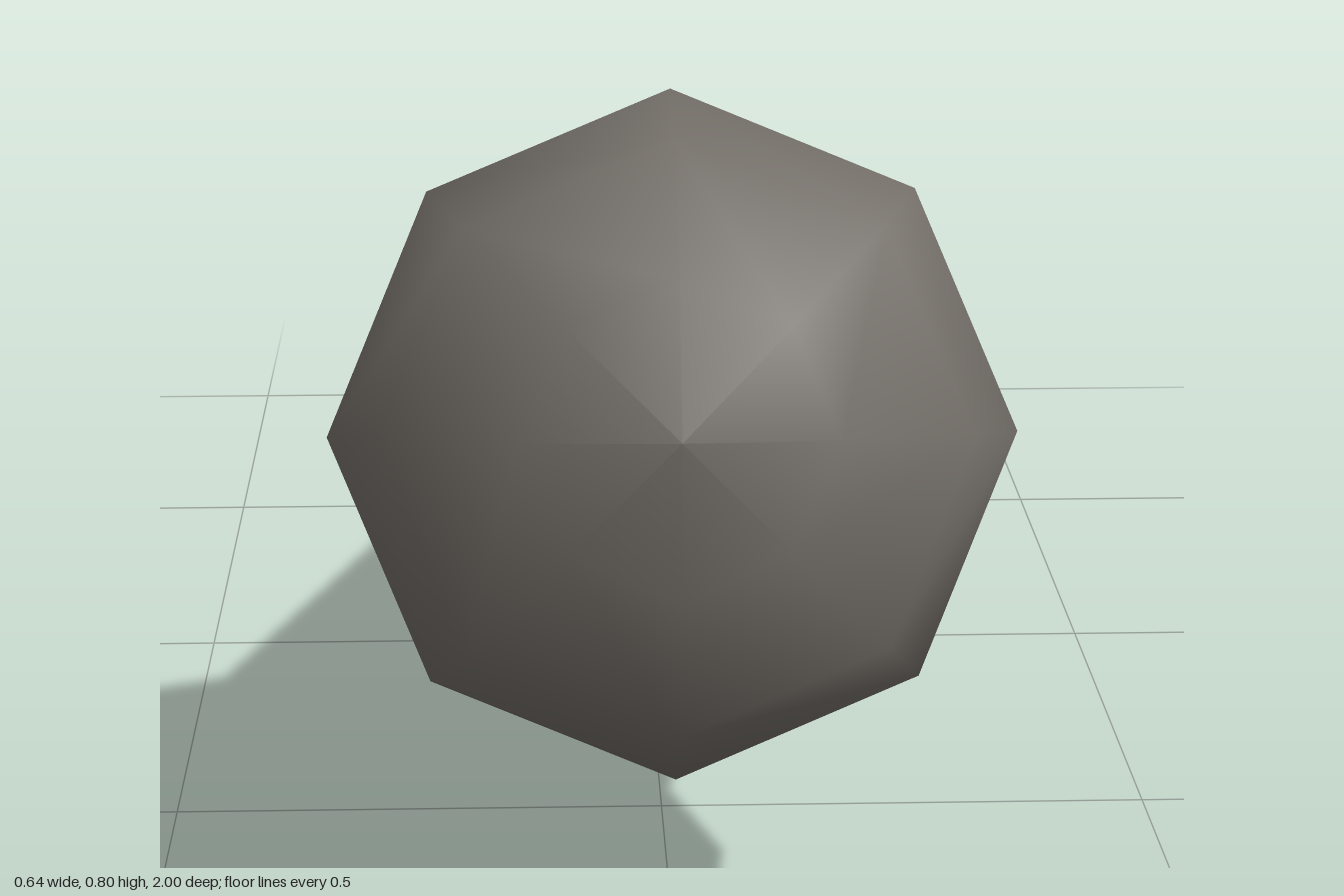
import * as THREE from 'three';

const SIDES = 8;

function material(name, color) {
  const m = new THREE.MeshStandardMaterial({ color });
  m.name = name;
  return m;
}

export function createModel() {
  const group = new THREE.Group();
  group.name = 'microphone';
  const grille = material('warm grey grille', 0x736e68);
  const metal = material('grey metal', 0x6c6a67);
  const black = material('black', 0x262626);

  // All parts share one axis (local y), later tilted towards the front.
  const add = (name, geometry, mat, y = 0) => {
    const mesh = new THREE.Mesh(geometry, mat);
    mesh.name = name;
    mesh.position.y = y;
    group.add(mesh);
  };

  // Tapered eight-sided section from y0 (radius r0) to y1 (radius r1)
  const section = (name, y0, r0, y1, r1, mat) =>
    add(name, new THREE.CylinderGeometry(r1, r0, y1 - y0, SIDES), mat, (y0 + y1) / 2);

  section('handle', -1.18, 0.107, 0, 0.196, black);
  section('cablePlug', -1.237, 0.087, -1.17, 0.087, black);
  section('cable', -1.547, 0.014, -1.23, 0.027, black);
  section('collar', -0.003, 0.25, 0.045, 0.25, metal);

  // Rounded head, a flattened ball
  const profile = [
    [0, 0.02], [0.1, 0.025], [0.187, 0.053], [0.268, 0.113], [0.314, 0.194],
    [0.322, 0.293], [0.272, 0.388], [0.142, 0.482], [0, 0.513],
  ].map(([r, y]) => new THREE.Vector2(r, y));
  add('head', new THREE.LatheGeometry(profile, SIDES), grille);

  // Tilt so the head points forwards and slightly up
  group.rotation.x = THREE.MathUtils.degToRad(75);
  group.position.set(0, 0.414, 0.498);

  const model = new THREE.Group();
  model.name = 'model';
  model.add(group);
  return model;
}
